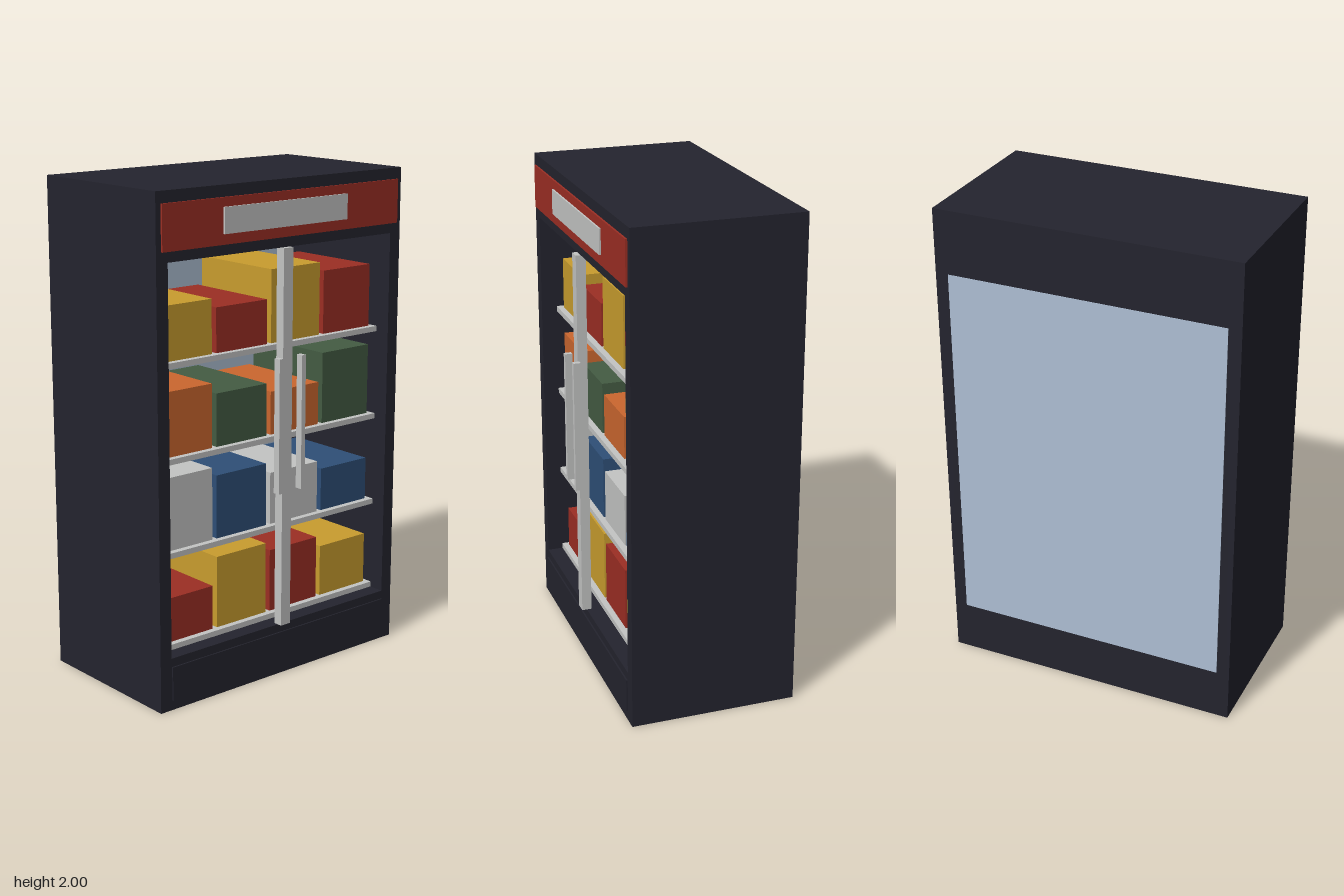
import * as THREE from 'three';

const material = (name, color) => {
  const m = new THREE.MeshStandardMaterial({ color });
  m.name = name;
  return m;
};

export function createModel() {
  const dark = material('dark cabinet', 0x24242e);
  const red = material('red', 0x9c2e24);
  const yellow = material('yellow', 0xc99d2e);
  const orange = material('orange', 0xcc672f);
  const green = material('green', 0x445c43);
  const blue = material('blue', 0x2e4f77);
  const grey = material('light grey', 0xc4c5c4);
  const pale = material('pale blue', 0xaebfd4);

  const model = new THREE.Group();
  model.name = 'displayCooler';

  // Box given by its minimum and maximum on each axis
  const box = (name, mat, [x0, x1], [y0, y1], [z0, z1]) => {
    const mesh = new THREE.Mesh(new THREE.BoxGeometry(x1 - x0, y1 - y0, z1 - z0), mat);
    mesh.position.set((x0 + x1) / 2, (y0 + y1) / 2, (z0 + z1) / 2);
    mesh.name = name;
    model.add(mesh);
  };

  // Cabinet shell: a rectangle with the display opening cut through it
  const W = 0.62, IN = 0.567, BOTTOM = 0.213, TOP = 1.74, BACK = -0.363, FRONT = 0.315;
  const outline = new THREE.Shape();
  outline.moveTo(-W, 0).lineTo(W, 0).lineTo(W, 2).lineTo(-W, 2).closePath();
  const opening = new THREE.Path();
  opening.moveTo(-IN, BOTTOM).lineTo(-IN, TOP).lineTo(IN, TOP).lineTo(IN, BOTTOM).closePath();
  outline.holes.push(opening);
  const shell = new THREE.Mesh(
    new THREE.ExtrudeGeometry(outline, { depth: FRONT - BACK, bevelEnabled: false }), dark);
  shell.position.z = BACK;
  shell.name = 'cabinet';
  model.add(shell);

  box('backPanel', pale, [-IN, IN], [BOTTOM, TOP], [-0.365, -0.35]);

  // Header, its blank sign and the kick plate
  box('header', red, [-0.597, 0.597], [1.78, 1.955], [0.31, 0.323]);
  box('signPlate', grey, [-0.312, 0.312], [1.82, 1.92], [0.322, 0.33]);
  box('kickPlate', dark, [-0.565, 0.565], [0.04, 0.178], [0.31, 0.321]);

  // Centre post and the two door handles
  box('centrePost', grey, [-0.024, 0.024], [BOTTOM, TOP], [0.295, 0.335]);
  for (const side of [-1, 1]) {
    const x = side * 0.058;
    box(side < 0 ? 'rightHandle' : 'leftHandle', grey,
      [x - 0.01, x + 0.01], [0.78, 1.32], [0.335, 0.365]);
  }

  // Shelves with four packages each: [shelf top, package heights, colours]
  const rows = [
    [0.236, [0.18, 0.295, 0.26, 0.215], [red, yellow, red, yellow]],
    [0.608, [0.292, 0.257, 0.214, 0.178], [grey, blue, grey, blue]],
    [0.98, [0.255, 0.212, 0.175, 0.292], [orange, green, orange, green]],
    [1.35, [0.213, 0.177, 0.292, 0.256], [yellow, red, yellow, red]],
  ];
  rows.forEach(([y, heights, colours], r) => {
    box(`shelf${r + 1}`, grey, [-IN, IN], [y - 0.022, y], [-0.35, 0.25]);
    heights.forEach((h, i) => {
      const x = (i - 1.5) * 0.278;
      box(`package${r + 1}_${i + 1}`, colours[i],
        [x - 0.128, x + 0.128], [y, y + h], [-0.2, 0.225]);
    });
  });

  return model;
}
